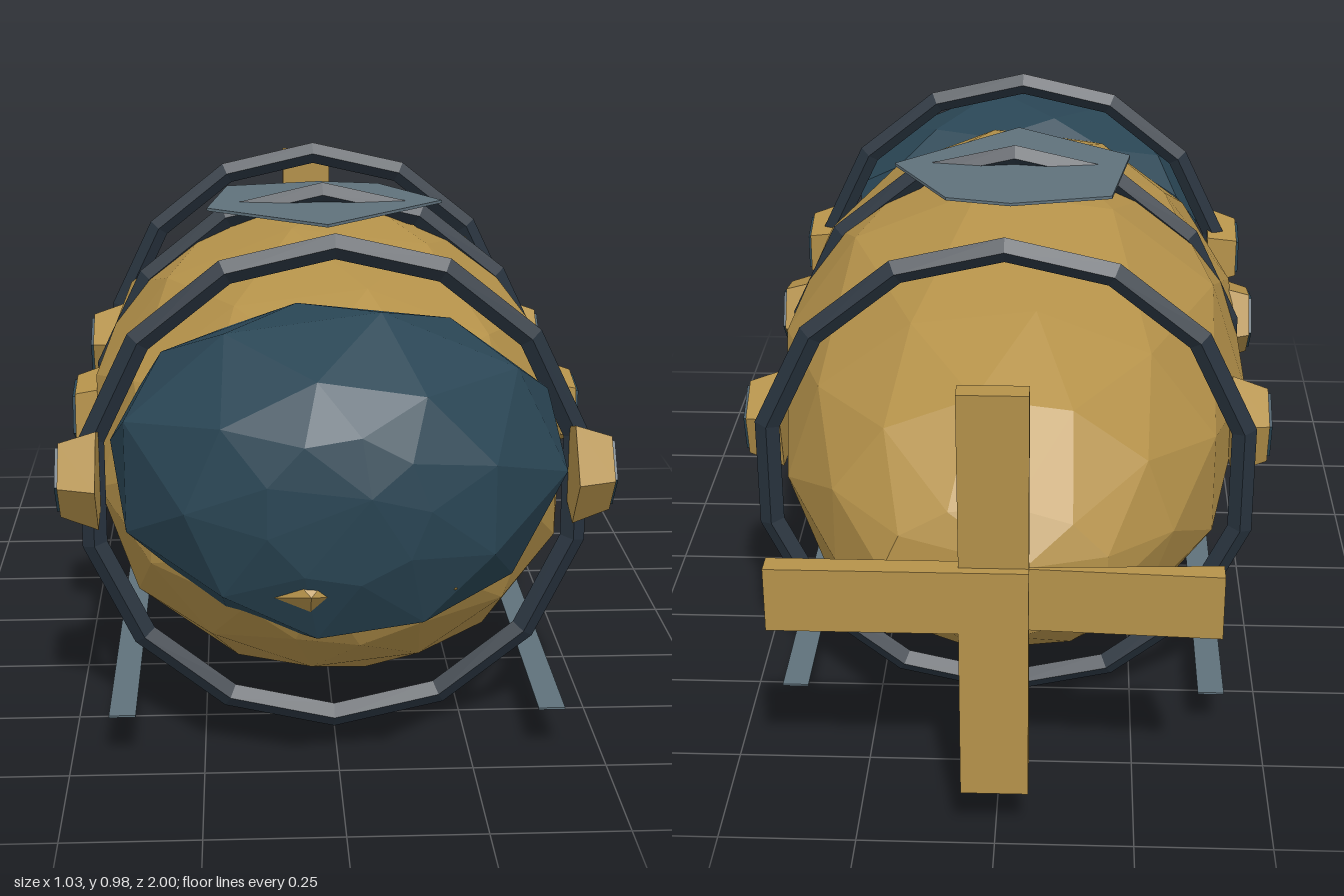
import * as THREE from 'three';

const mat = (color) => new THREE.MeshStandardMaterial({ color, flatShading: true, side: THREE.DoubleSide });
const brass = mat(0xb5924a), glass = mat(0x2a4655), iron = mat(0x27323d), slate = mat(0x5f717b);

// Faceted shell from sections [z, halfWidth, yBottom, yTop], listed back to front and staggered by half a side.
function shell(sections, sides, backTip, frontTip) {
  const rings = sections.map(([z, w, y0, y1], i) => {
    const ring = [];
    for (let j = 0; j < sides; j++) {
      const a = ((j + (i % 2) * 0.5) / sides) * Math.PI * 2;
      ring.push([w * 1.015 * Math.cos(a), (y0 + y1) / 2 + ((y1 - y0) / 2) * 1.015 * Math.sin(a), z]);
    }
    return ring;
  });
  const pos = [];
  const tri = (...points) => points.forEach((p) => pos.push(...p));
  const first = rings[0], last = rings[rings.length - 1];
  for (let j = 0; j < sides; j++) {
    const k = (j + 1) % sides;
    tri(backTip, first[k], first[j]);
    tri(frontTip, last[j], last[k]);
    for (let i = 0; i < rings.length - 1; i++) {
      const a = rings[i], b = rings[i + 1];
      if (i % 2 === 0) {
        tri(a[j], a[k], b[j]);
        tri(a[k], b[k], b[j]);
      } else {
        tri(a[j], b[k], b[j]);
        tri(a[j], a[k], b[k]);
      }
    }
  }
  const geo = new THREE.BufferGeometry();
  geo.setAttribute('position', new THREE.Float32BufferAttribute(pos, 3));
  geo.computeVertexNormals();
  return geo;
}

export function createModel() {
  const model = new THREE.Group();
  model.name = 'submarine';
  const add = (name, geo, material, x = 0, y = 0, z = 0, parent = model) => {
    const mesh = new THREE.Mesh(geo, material);
    mesh.name = name;
    mesh.position.set(x, y, z);
    parent.add(mesh);
    return mesh;
  };

  // Hull
  add('hull', shell([
    [-0.88, 0.2, 0.36, 0.62],
    [-0.74, 0.31, 0.245, 0.76],
    [-0.53, 0.41, 0.14, 0.84],
    [-0.13, 0.48, 0.07, 0.93],
    [0.2, 0.48, 0.085, 0.915],
    [0.5, 0.44, 0.1, 0.86],
    [0.72, 0.35, 0.2, 0.78],
    [0.88, 0.2, 0.31, 0.64],
  ], 11, [-0.05, 0.53, -0.93], [-0.04, 0.44, 0.96]), brass);

  // Glass nose dome
  add('noseDome', shell([
    [0.54, 0.38, 0.4, 0.83],
    [0.6, 0.41, 0.35, 0.86],
    [0.76, 0.4, 0.29, 0.88],
    [0.92, 0.27, 0.34, 0.8],
    [0.98, 0.14, 0.46, 0.72],
  ], 9, [0, 0.6, 0.53], [0.04, 0.62, 1]), glass);

  // Lamps on the nose
  for (const [name, x, y, z, w, h] of [['largeLamp', -0.06, 0.44, 0.95, 0.11, 0.07], ['smallLamp', 0.19, 0.43, 0.9, 0.028, 0.026]]) {
    const lamp = add(name, new THREE.ConeGeometry(1, 1, 5).rotateX(Math.PI / 2), brass, x, y, z);
    lamp.scale.set(w, h, 0.06);
  }

  // Hoops round the hull
  for (const z of [0.56, 0.025, -0.515]) {
    const hoop = add('hoop', new THREE.TorusGeometry(0.465, 0.024, 4, 14), iron, 0, 0.49, z);
    hoop.rotation.z = Math.PI / 14;
    hoop.scale.z = 0.7;
  }

  // Portholes and skids on both sides
  for (const side of [-1, 1]) {
    [0.6, 0.175, -0.36].forEach((z, i) => {
      const porthole = new THREE.Group();
      porthole.name = 'porthole';
      porthole.position.set(side * 0.475, 0.535, z);
      porthole.rotation.x = i * 0.5;
      const turn = -side * Math.PI / 2;
      add('portholeRim', new THREE.CylinderGeometry(0.075, 0.1, 0.07, 5).rotateZ(turn), brass, 0, 0, 0, porthole);
      add('portholeGlass', new THREE.CylinderGeometry(0.065, 0.065, 0.006, 5).rotateZ(turn), glass, side * 0.038, 0, 0, porthole);
      model.add(porthole);
    });
    add('skid', new THREE.BoxGeometry(0.05, 0.004, 1.35), slate, side * 0.403, 0.095, 0.025);
  }

  // Flat hatch plate on top
  const outline = [[-0.2, -0.17], [0, -0.22], [0.13, -0.19], [0.25, 0.02], [0, 0.275], [-0.24, 0.09]];
  const plate = new THREE.Shape(outline.map(([x, z]) => new THREE.Vector2(x, -z)));
  add('hatch', new THREE.ExtrudeGeometry(plate, { depth: 0.006, bevelEnabled: false }).rotateX(-Math.PI / 2), slate, 0, 0.933, 0);

  // Four-bladed propeller: two blades keep their thickness, two thin out towards the hub
  const propeller = new THREE.Group();
  propeller.name = 'propeller';
  propeller.position.set(0, 0.5, -0.98);
  for (let i = 0; i < 4; i++) {
    const thins = i === 1 || i === 2;
    const geo = new THREE.BoxGeometry(thins ? 0.33 : 0.45, 0.12, 0.04);
    geo.translate(thins ? 0.225 : 0.165, 0, 0);
    const p = geo.attributes.position;
    for (let v = 0; thins && v < p.count; v++) {
      if (p.getX(v) < 0.1) p.setZ(v, p.getZ(v) * 0.15);
    }
    geo.computeVertexNormals();
    const blade = add('propellerBlade', geo, brass, 0, 0, 0, propeller);
    blade.rotation.z = (i * Math.PI) / 2;
  }
  model.add(propeller);

  return model;
}
